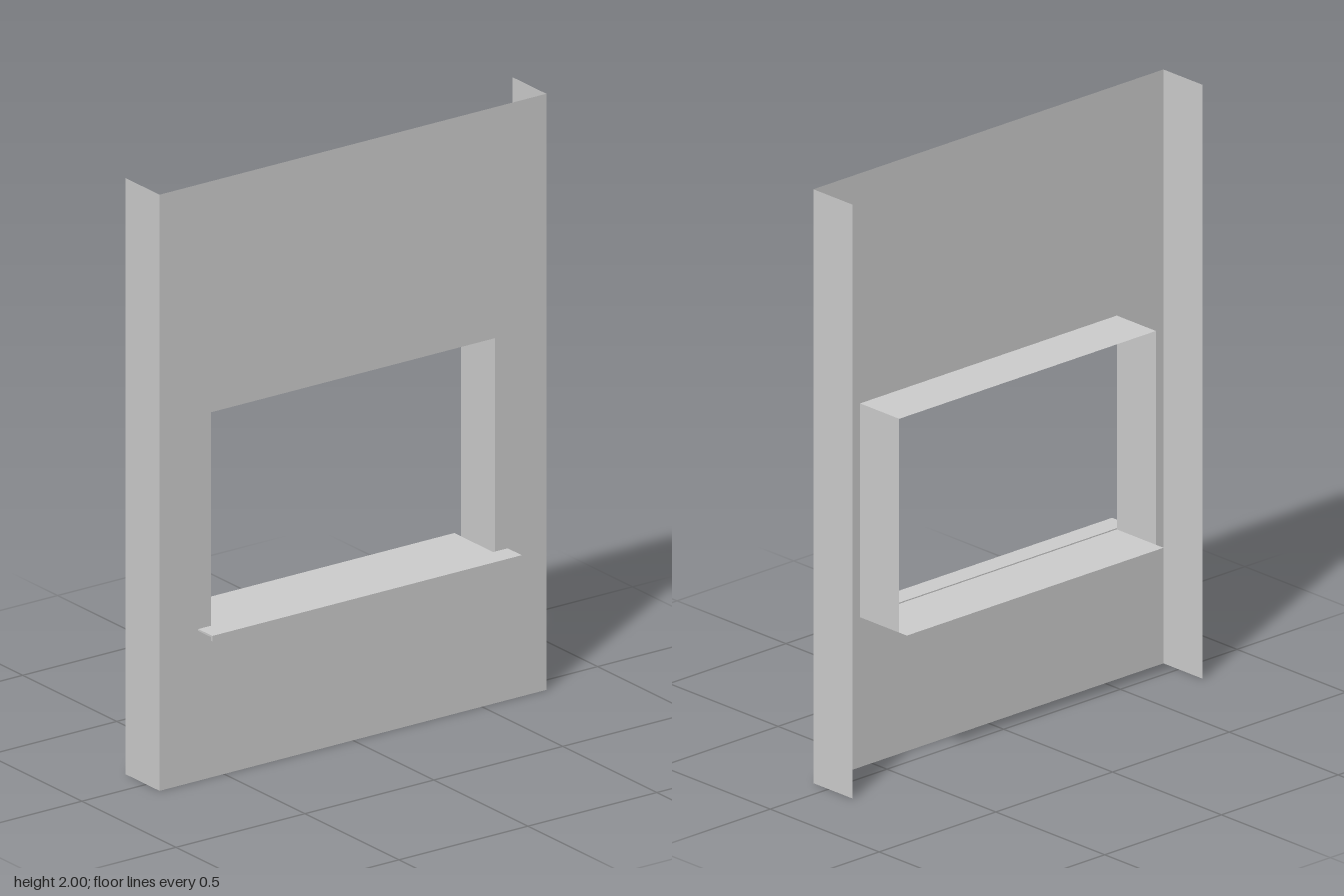
import * as THREE from 'three';

const FRONT = 0.07, BACK = -0.11;          // depth of the wall shell
const W = 0.75, H = 2;                     // half width and height
const OPEN = 0.55, SILL_Y = 0.505, HEAD_Y = 1.225;

export function createModel() {
  const group = new THREE.Group();
  const mat = new THREE.MeshStandardMaterial({ color: 0xcccccc, side: THREE.DoubleSide, flatShading: true });
  const add = (name, geometry, x, y, z) => {
    const mesh = new THREE.Mesh(geometry, mat);
    mesh.name = name;
    mesh.position.set(x, y, z);
    group.add(mesh);
    return mesh;
  };
  const depth = FRONT - BACK, midZ = (FRONT + BACK) / 2;
  // Thin upright and level sheets
  const upright = (name, x, y0, y1) =>
    add(name, new THREE.PlaneGeometry(depth, y1 - y0).rotateY(Math.sign(x) * Math.PI / 2), x, (y0 + y1) / 2, midZ);
  const level = (name, width, y, z0, z1) =>
    add(name, new THREE.PlaneGeometry(width, z1 - z0).rotateX(-Math.PI / 2), 0, y, (z0 + z1) / 2);

  // Front panel with the window opening
  const panel = new THREE.Shape([[-W, 0], [W, 0], [W, H], [-W, H]].map(p => new THREE.Vector2(...p)));
  panel.holes.push(new THREE.Path(
    [[-OPEN, SILL_Y], [-OPEN, HEAD_Y], [OPEN, HEAD_Y], [OPEN, SILL_Y]].map(p => new THREE.Vector2(...p))));
  add('frontPanel', new THREE.ShapeGeometry(panel), 0, 0, FRONT);

  // Side returns of the wall and jambs of the opening
  for (const [side, s] of [['left', 1], ['right', -1]]) {
    upright(side + 'WallReturn', s * W, 0, H);
    upright(side + 'Jamb', s * OPEN, SILL_Y, HEAD_Y);
  }
  level('lintel', 2 * OPEN, HEAD_Y, BACK, FRONT);

  // Sill board running through the opening and out at the back
  level('innerSill', 2 * OPEN, SILL_Y, -0.145, FRONT);

  // Wider projecting ledge with a turned-down front lip
  const profile = new THREE.Shape([
    [FRONT, 0.503], [0.139, 0.503], [0.139, 0.491], [0.145, 0.491], [0.145, 0.509], [FRONT, 0.509],
  ].map(([z, y]) => new THREE.Vector2(-z, y)));
  const ledge = new THREE.ExtrudeGeometry(profile, { depth: 1.2, bevelEnabled: false });
  ledge.translate(0, 0, -0.6).rotateY(Math.PI / 2);
  add('outerSill', ledge, 0, 0, 0);

  return group;
}
